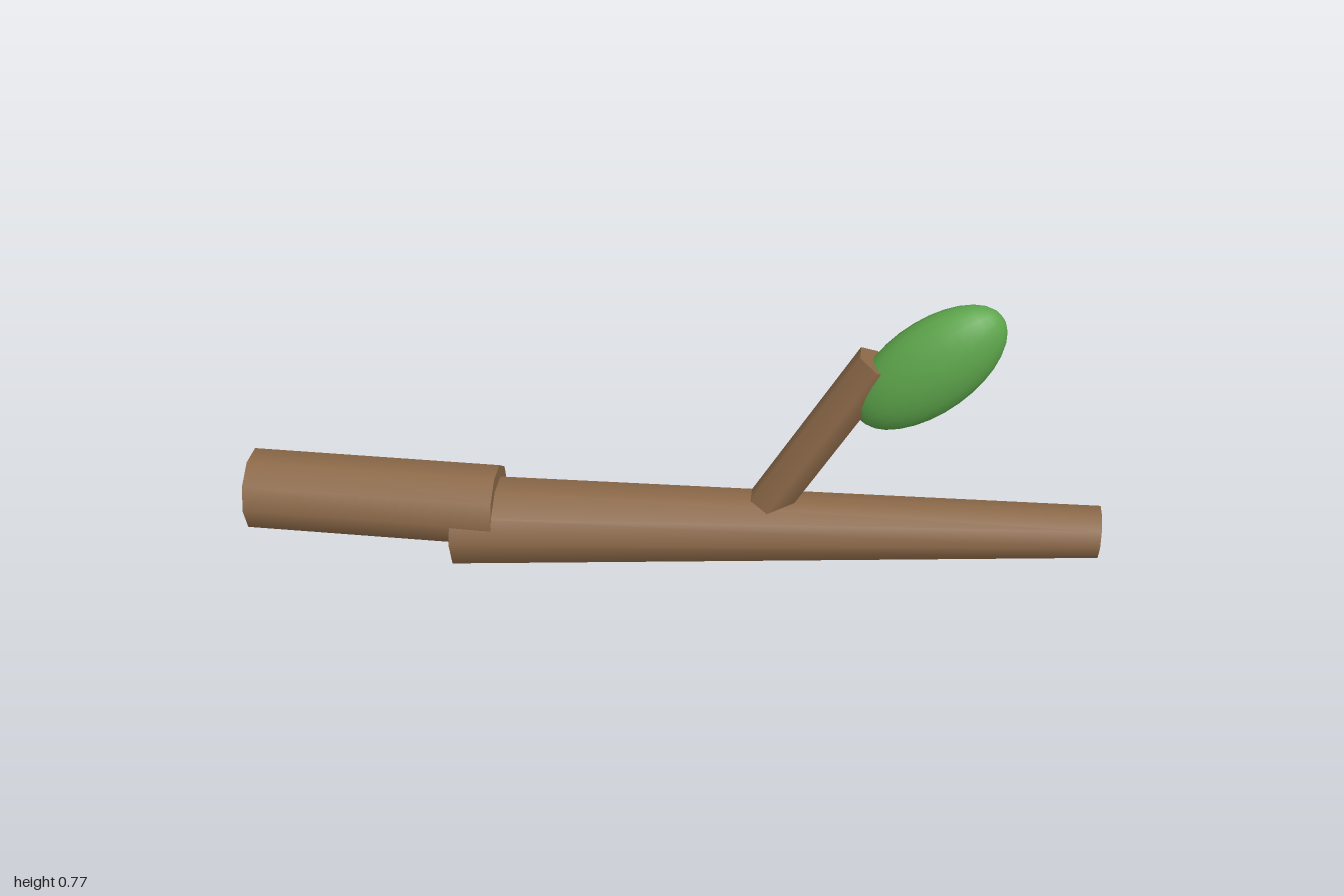
import * as THREE from 'three';

const bark = new THREE.MeshStandardMaterial({ color: 0x8b6848 });
const green = new THREE.MeshStandardMaterial({ color: 0x5da54b });

function addPart(group, name, geometry, material) {
  const mesh = new THREE.Mesh(geometry, material);
  mesh.name = name;
  group.add(mesh);
  return mesh;
}

// Cylinder lying along x, its small end towards +x
function lyingCylinder(radiusEnd, radiusStart, length, sides) {
  return new THREE.CylinderGeometry(radiusEnd, radiusStart, length, sides).rotateZ(-Math.PI / 2);
}

export function createModel() {
  const group = new THREE.Group();
  group.name = 'branch';

  // Thick straight butt end
  addPart(group, 'thickEnd', lyingCylinder(0.1, 0.1, 0.6, 10), bark).position.set(-0.7, 0.157, 0);

  // Long tapered limb, rising gently with upright ends
  const limb = lyingCylinder(0.0625, 0.112, 1.5, 10);
  limb.applyMatrix4(new THREE.Matrix4().set(
    1, 0, 0, 0,
    0.064, 1, 0, 0,
    0, 0, 1, 0,
    0, 0, 0, 1));
  addPart(group, 'taperedLimb', limb, bark).position.set(0.25, 0.156, 0);

  // Side twig leaning towards the thin end
  const twig = addPart(group, 'twig', new THREE.CylinderGeometry(0.05, 0.05, 0.46, 6), bark);
  twig.position.set(0.355, 0.416, 0);
  twig.rotation.z = -Math.PI / 6;

  // Plump leaf at the tip of the twig
  const leaf = addPart(group, 'leaf', new THREE.SphereGeometry(1, 20, 16), green);
  leaf.scale.set(0.105, 0.2, 0.075);
  leaf.position.set(0.584, 0.608, 0);
  leaf.rotation.z = -Math.PI / 4;

  return group;
}
